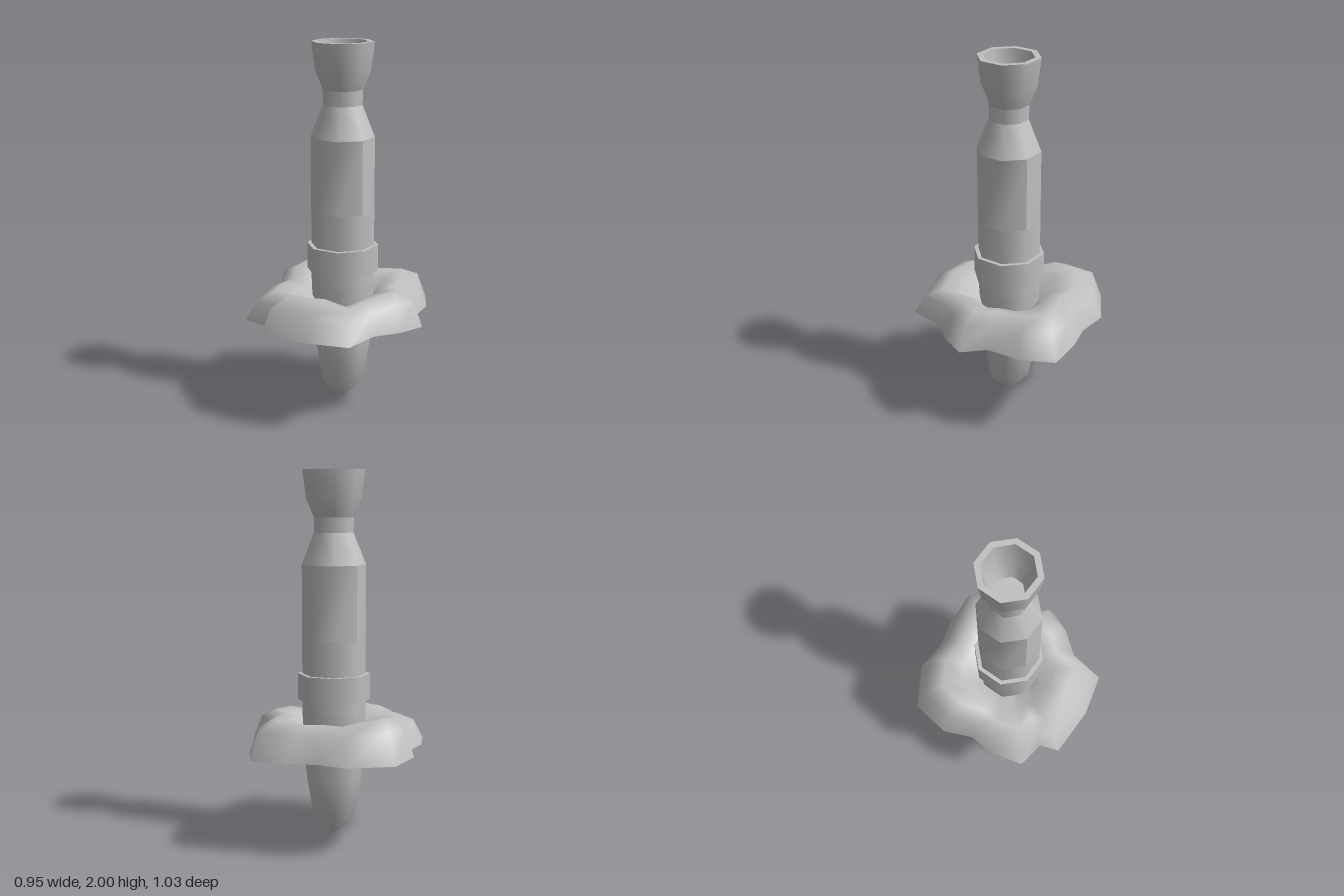
import * as THREE from 'three';

const CX = 0.025, CZ = -0.005; // axis of the shaft

export function createModel() {
  const root = new THREE.Group();
  root.name = 'buriedShaft';
  const grey = new THREE.MeshStandardMaterial({ color: 0xbfbfbf, side: THREE.DoubleSide });
  grey.name = 'grey';

  const shaft = new THREE.Group();
  shaft.name = 'shaft';
  shaft.position.set(CX, 0, CZ);
  root.add(shaft);

  function add(parent, name, geometry) {
    const mesh = new THREE.Mesh(geometry, grey);
    mesh.name = name;
    parent.add(mesh);
    return mesh;
  }
  // eight-sided turned part; each profile is [radius, height]
  function turned(name, profile) {
    add(shaft, name, new THREE.LatheGeometry(profile.map(p => new THREE.Vector2(...p)), 8));
  }

  // pointed lower end and the plain stem
  turned('tip', [[0, 0.005], [0.115, 0.12], [0.15, 0.34], [0.165, 0.52], [0.172, 0.7]]);
  turned('stem', [[0.172, 0.7], [0.172, 1.1]]);

  // collar with flat top and bottom
  turned('collarBottom', [[0.17, 0.765], [0.195, 0.765]]);
  turned('collarSide', [[0.195, 0.765], [0.195, 0.91]]);
  turned('collarTop', [[0.195, 0.91], [0.17, 0.91]]);

  // four softly folded panels meeting at hard diagonal edges
  for (let i = 0; i < 4; i++) {
    const panel = new THREE.CylinderGeometry(0.172, 0.172, 0.4, 2, 1, true, -Math.PI / 4 + i * Math.PI / 2, Math.PI / 2);
    panel.computeVertexNormals();
    add(shaft, 'sidePanel', panel).position.y = 1.3;
  }

  // shoulder, waist and flared mouth
  turned('shoulder', [[0.172, 1.5], [0.105, 1.67]]);
  turned('waist', [[0.105, 1.67], [0.107, 1.75]]);
  turned('flare', [[0.107, 1.75], [0.148, 1.85], [0.167, 2]]);
  turned('rim', [[0.167, 2], [0.135, 2]]);
  turned('mouthInside', [[0.135, 2], [0.12, 1.86], [0.08, 1.75]]);
  turned('mouthFloor', [[0.08, 1.75], [0, 1.75]]);

  // ragged mound: [outer x, outer z, crest height]
  const outline = [
    [-0.04, -0.515, 0.69], [0.115, -0.44, 0.69], [0.265, -0.42, 0.685],
    [0.462, -0.355, 0.7], [0.477, -0.165, 0.69], [0.42, 0.02, 0.68],
    [0.477, 0.16, 0.69], [0.37, 0.265, 0.69], [0.235, 0.34, 0.665],
    [0.13, 0.513, 0.655], [-0.1, 0.482, 0.695], [-0.353, 0.375, 0.675],
    [-0.348, 0.267, 0.665], [-0.478, 0.188, 0.66], [-0.455, 0, 0.67],
    [-0.39, -0.125, 0.665], [-0.392, -0.29, 0.705], [-0.283, -0.48, 0.72],
  ];
  const n = outline.length, positions = [], index = [];
  const rings = [
    (x, z, h) => [1, 0.51],
    (x, z, h) => [0.89, h - 0.045],
    (x, z, h) => [0.7, h],
    (x, z, h) => [0.5, h - 0.025],
    (x, z, h) => [0.155 / Math.hypot(x, z), 0.6],
  ];
  for (const ring of rings) {
    for (const [ox, oz, h] of outline) {
      const x = ox - CX, z = oz - CZ, [s, y] = ring(x, z, h);
      positions.push(CX + x * s, y, CZ + z * s);
    }
  }
  for (let r = 0; r < rings.length - 1; r++) {
    for (let i = 0; i < n; i++) {
      const a = r * n + i, b = r * n + (i + 1) % n;
      index.push(a, a + n, b, b, a + n, b + n);
    }
  }
  const mound = new THREE.BufferGeometry();
  mound.setAttribute('position', new THREE.Float32BufferAttribute(positions, 3));
  mound.setIndex(index);
  mound.computeVertexNormals();
  add(root, 'mound', mound);

  return root;
}
